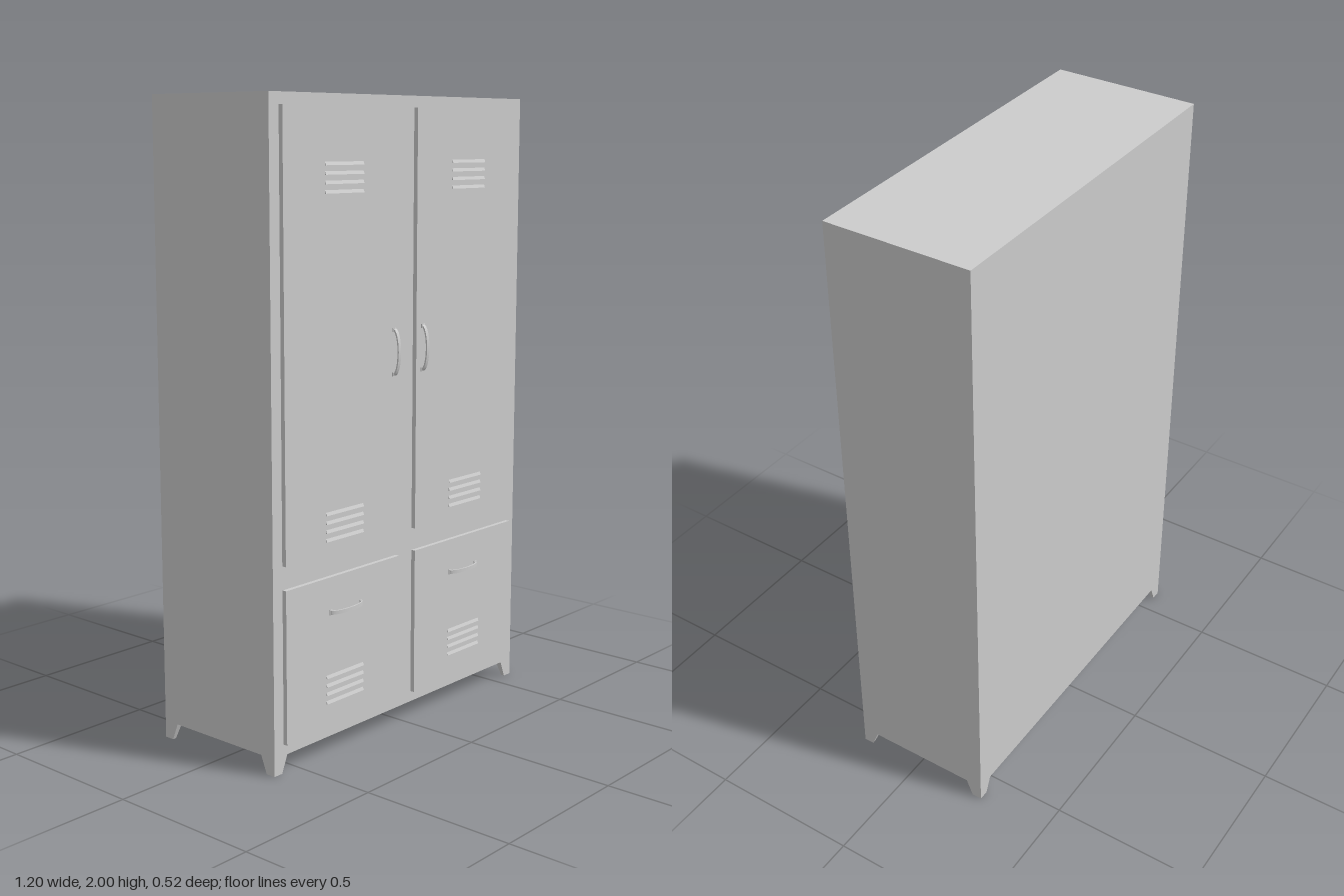
import * as THREE from 'three';

const metal = new THREE.MeshStandardMaterial({ color: 0xcccccc, flatShading: true });
const smoothMetal = new THREE.MeshStandardMaterial({ color: 0xcccccc });
const BODY_FRONT = 0.22, PANEL_FRONT = 0.2345, BACK = -0.2585, LEG = 0.055;

// Box given by its lower and upper corners
function box(name, x0, x1, y0, y1, z0, z1) {
  const mesh = new THREE.Mesh(new THREE.BoxGeometry(x1 - x0, y1 - y0, z1 - z0), metal);
  mesh.name = name;
  mesh.position.set((x0 + x1) / 2, (y0 + y1) / 2, (z0 + z1) / 2);
  return mesh;
}

// Bowed pull, lying along x and bulging to +z
function makeHandle(name) {
  const group = new THREE.Group();
  group.name = name;
  const bow = new THREE.Shape();
  bow.absellipse(0, 0, 0.074, 0.024, 0, Math.PI, false);
  bow.lineTo(-0.066, 0);
  bow.absellipse(0, 0, 0.066, 0.019, Math.PI, 0, true);
  const geo = new THREE.ExtrudeGeometry(bow, { depth: 0.012, bevelEnabled: false, curveSegments: 16 });
  geo.translate(0, 0, -0.006).rotateX(Math.PI / 2);
  const grip = new THREE.Mesh(geo, smoothMetal);
  grip.name = 'grip';
  group.add(grip);
  // Mounting pads at both ends
  for (const s of [-1, 1]) {
    group.add(box('handlePad', s * 0.069 - 0.006, s * 0.069 + 0.006, -0.008, 0.008, 0, 0.004));
  }
  return group;
}

// Four thin louvres, each a shallow wedge opening downwards
function makeVent(name, x, y) {
  const group = new THREE.Group();
  group.name = name;
  const profile = new THREE.Shape([[0, 0], [0.004, 0], [0, 0.01]].map(p => new THREE.Vector2(...p)));
  const geo = new THREE.ExtrudeGeometry(profile, { depth: 0.17, bevelEnabled: false });
  geo.translate(0, 0, -0.085).rotateY(-Math.PI / 2);
  for (let i = 0; i < 4; i++) {
    const louvre = new THREE.Mesh(geo, metal);
    louvre.name = 'louvre';
    louvre.position.y = (i - 1.5) * 0.027 - 0.005;
    group.add(louvre);
  }
  group.position.set(x, y, PANEL_FRONT);
  return group;
}

// Corner foot: chamfered section that tapers towards its outer corner
function makeFootGeometry() {
  const section = new THREE.Shape([[0, 0], [0.055, 0], [0.055, 0.02], [0.02, 0.055], [0, 0.055]]
    .map(p => new THREE.Vector2(...p)));
  const geo = new THREE.ExtrudeGeometry(section, { depth: LEG, bevelEnabled: false });
  geo.rotateX(Math.PI / 2).translate(0, LEG, 0);
  const pos = geo.attributes.position;
  for (let i = 0; i < pos.count; i++) {
    const k = pos.getY(i) < LEG / 2 ? 0.6 : 1;
    pos.setX(i, pos.getX(i) * k);
    pos.setZ(i, pos.getZ(i) * k);
  }
  geo.computeVertexNormals();
  return geo;
}

export function createModel() {
  const model = new THREE.Group();
  model.name = 'lockerCabinet';
  model.add(box('cabinetBody', -0.6, 0.6, LEG, 2, BACK, BODY_FRONT));

  // Feet, turned so the outer corner meets each cabinet corner
  const footGeo = makeFootGeometry();
  [[-0.6, BACK, 0], [-0.6, BODY_FRONT, 1], [0.6, BODY_FRONT, 2], [0.6, BACK, 3]].forEach(([x, z, turn]) => {
    const foot = new THREE.Mesh(footGeo, metal);
    foot.name = 'foot';
    foot.position.set(x, 0, z);
    foot.rotation.y = turn * Math.PI / 2;
    model.add(foot);
  });

  for (const [side, s] of [['left', 1], ['right', -1]]) {
    const x0 = s > 0 ? 0.04 : -0.56, mid = s * 0.3;

    // Tall door with upper and lower vents
    const door = new THREE.Group();
    door.name = side + 'Door';
    door.add(box('doorPanel', x0, x0 + 0.52, 0.64, 1.965, BODY_FRONT, PANEL_FRONT));
    door.add(makeVent('upperVent', mid, 1.76), makeVent('lowerVent', mid, 0.725));
    const pull = makeHandle('doorHandle');
    pull.position.set(s * 0.07, 1.222, PANEL_FRONT);
    pull.rotation.z = Math.PI / 2;
    door.add(pull);

    // Lower compartment
    const drawer = new THREE.Group();
    drawer.name = side + 'Drawer';
    drawer.add(box('drawerPanel', x0, x0 + 0.52, 0.09, 0.567, BODY_FRONT, PANEL_FRONT));
    drawer.add(makeVent('drawerVent', mid, 0.215));
    const drawerPull = makeHandle('drawerHandle');
    drawerPull.position.set(s * 0.295, 0.457, PANEL_FRONT);
    drawer.add(drawerPull);

    model.add(door, drawer);
  }
  return model;
}
